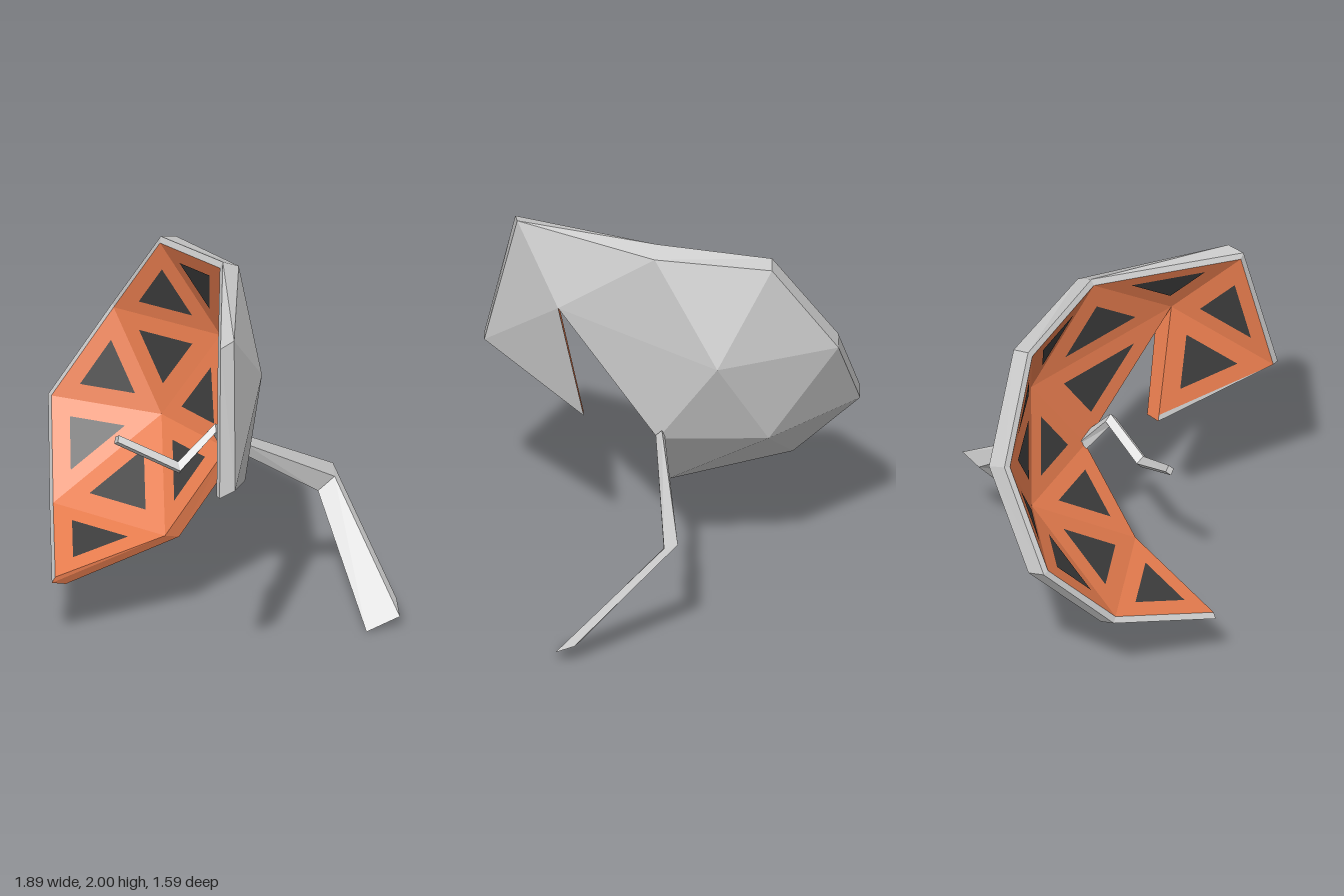
import * as THREE from 'three';

const V = (x, y, z) => new THREE.Vector3(x, y, z);
const material = (color) => new THREE.MeshStandardMaterial({ color, flatShading: true, side: THREE.DoubleSide });
const GREY = material(0xcccccc);
const ORANGE = material(0xe67c4e);
const DARK = material(0x3c3c3c);

// Flat-sided mesh from a list of convex polygons (counter-clockwise corners)
function polyMesh(name, polygons, mat) {
  const points = [];
  for (const p of polygons) {
    for (let i = 1; i < p.length - 1; i++) points.push(p[0], p[i], p[i + 1]);
  }
  const geometry = new THREE.BufferGeometry().setFromPoints(points);
  geometry.computeVertexNormals();
  const mesh = new THREE.Mesh(geometry, mat);
  mesh.name = name;
  return mesh;
}

// Solid through a row of four-cornered cross-sections
function loft(name, rings, mat) {
  const polygons = [[...rings[0]].reverse(), rings[rings.length - 1]];
  for (let r = 0; r < rings.length - 1; r++) {
    const a = rings[r], b = rings[r + 1];
    for (let j = 0; j < 4; j++) {
      const k = (j + 1) % 4;
      polygons.push([a[j], a[k], b[k], b[j]]);
    }
  }
  return polyMesh(name, polygons, mat);
}

// Shell nodes: o = outside corner, f = front corner of the rim, i = inside corner
const CENTRE = V(-0.28, 1.12, 0.1);
const inner = (o, i) => ({ o: V(...o), i: V(...i) });
const rim = (o, f, target = CENTRE) => {
  const front = V(...f);
  const step = target.clone().sub(front).setLength(0.035);
  return { o: V(...o), f: front, i: front.clone().add(step) };
};
const N = {
  A: inner([0.15, 0.94, -0.28], [0.09, 0.955, -0.22]),
  P1: inner([0.4, 1.59, 0.19], [0.345, 1.58, 0.25]),
  P2: inner([0.015, 1.41, -0.575], [-0.03, 1.435, -0.51]),
  P3: inner([-0.3, 0.91, -0.61], [-0.35, 0.935, -0.55]),
  P4: inner([-0.11, 0.51, -0.06], [-0.165, 0.535, 0]),
  R1: rim([0.42, 1.19, 0.72], [0.36, 1.17, 0.79]),
  R2: rim([0.36, 1.93, 0.54], [0.31, 1.91, 0.61]),
  R3: rim([0.145, 1.96, -0.25], [0.08, 2, -0.19]),
  R4: rim([-0.3, 1.89, -0.635], [-0.36, 1.91, -0.57]),
  R5: rim([-0.6, 1.4, -0.8], [-0.66, 1.43, -0.73]),
  R6: rim([-0.89, 0.93, -0.64], [-0.95, 0.955, -0.57]),
  R7: rim([-0.78, 0.5, -0.26], [-0.83, 0.52, -0.2]),
  R8: rim([-0.6, 0.335, 0.28], [-0.655, 0.36, 0.34]),
  Q: rim([0.29, 0.955, 0.12], [0.245, 0.94, 0.17], V(0.345, 1.58, 0.25)),
};
const FACES = [
  'P1 R1 R2', 'P1 R2 R3', 'P1 R3 P2', 'P2 R3 R4', 'P2 R4 R5', 'P2 R5 P3', 'P3 R5 R6',
  'P3 R6 R7', 'P3 R7 P4', 'P4 R7 R8', 'A P1 P2', 'A P2 P3', 'A P3 P4', 'Q R1 P1',
].map((s) => s.split(' ').map((k) => N[k]));
const RIM = 'Q R1 R2 R3 R4 R5 R6 R7 R8'.split(' ').map((k) => N[k]);
const CUT = 'R8 P4 A P1 Q'.split(' ').map((k) => N[k]);
const pairs = (list) => list.slice(1).map((b, i) => [list[i], b]);

function createDish() {
  const dish = new THREE.Group();
  dish.name = 'dish';

  // Grey back and orange lining
  dish.add(polyMesh('dishBack', FACES.map(([a, b, c]) => [c.o, b.o, a.o]), GREY));
  dish.add(polyMesh('dishLining', FACES.map((f) => f.map((n) => n.i)), ORANGE));

  // Grey lip round the rim, orange walls along the open notch
  const lip = pairs(RIM).flatMap(([a, b]) => [[b.i, a.i, a.f, b.f], [b.f, a.f, a.o, b.o]]);
  dish.add(polyMesh('rimLip', lip, GREY));
  const walls = pairs(CUT).map(([a, b]) => [b.i, a.i, a.f, a.o, b.o, b.f].filter(Boolean));
  dish.add(polyMesh('notchWalls', walls, ORANGE));

  // Half-size dark triangle in the middle of each lining facet
  const panels = FACES.map((f) => {
    const [a, b, c] = f.map((n) => n.i);
    const middle = V(0, 0, 0).add(a).add(b).add(c).divideScalar(3);
    const lift = new THREE.Triangle(a, b, c).getNormal(V(0, 0, 0)).multiplyScalar(0.004);
    return [a, b, c].map((p) => p.clone().lerp(middle, 0.5).add(lift));
  });
  dish.add(polyMesh('darkPanels', panels, DARK));
  return dish;
}

// Bent leg: three corners of each section given, the fourth completes the parallelogram
function createLeg() {
  const section = (a, b, c) => {
    const [p, q, r] = [V(...a), V(...b), V(...c)];
    return [p.clone().add(r).sub(q), r, q, p];
  };
  return loft('leg', [
    section([0.13, 0.93, -0.26], [0.165, 0.965, -0.28], [0.15, 1.0, -0.31]),
    section([0.44, 0.575, -0.645], [0.505, 0.63, -0.72], [0.475, 0.67, -0.79]),
    section([0.8, 0.0, -0.295], [0.945, 0.06, -0.395], [0.9, 0.115, -0.485]),
  ], GREY);
}

// Zigzag feeler standing in the hollow of the dish
function createFeeler() {
  const path = [V(0.105, 0.94, -0.245), V(0.065, 1.115, -0.095), V(-0.08, 0.945, 0.045), V(-0.375, 1.105, 0.145)];
  const radii = [0.04, 0.033, 0.035, 0.026];
  const side = V(0.5, -0.1, 0.85).normalize();
  const rings = path.map((p, i) => {
    const before = path[Math.max(i - 1, 0)], after = path[Math.min(i + 1, path.length - 1)];
    const tangent = p.clone().sub(before).normalize().add(after.clone().sub(p).normalize()).normalize();
    const up = tangent.cross(side).normalize();
    return [[1, 0], [0, 1], [-1, 0], [0, -1]].map(([s, u]) =>
      p.clone().addScaledVector(side, s * radii[i]).addScaledVector(up, u * radii[i]));
  });
  return loft('feeler', rings, GREY);
}

export function createModel() {
  const model = new THREE.Group();
  model.name = 'facetedDish';
  model.add(createDish(), createLeg(), createFeeler());
  return model;
}
